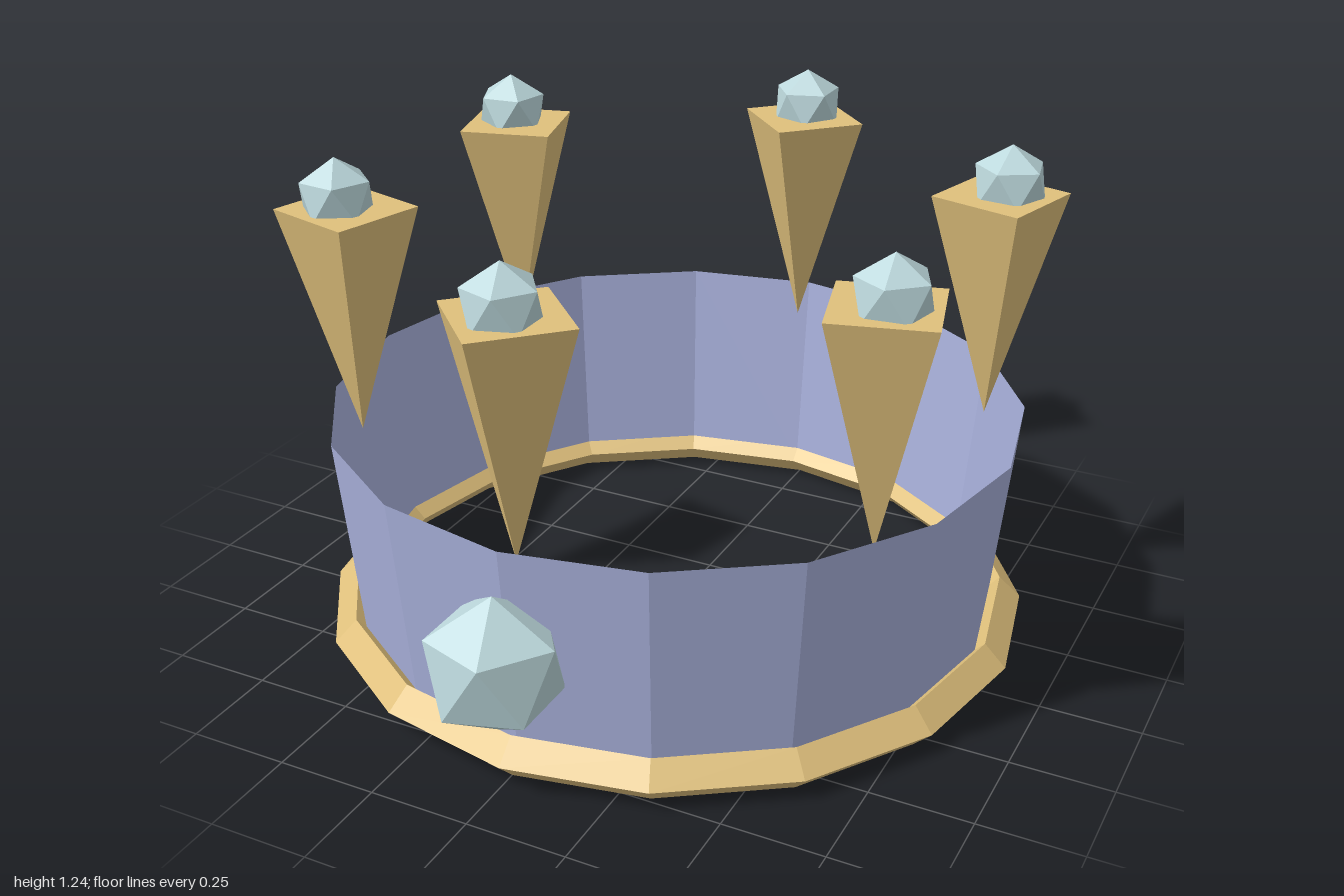
import * as THREE from 'three';

const flat = (name, color) => {
  const m = new THREE.MeshStandardMaterial({ color, flatShading: true });
  m.name = name;
  return m;
};

export function createModel() {
  const periwinkle = flat('periwinkle', 0xa9b1dc);
  periwinkle.side = THREE.DoubleSide;
  const gold = flat('gold', 0xdfc07c);
  const iceBlue = flat('iceBlue', 0xbcd8dc);

  const crown = new THREE.Group();
  crown.name = 'crown';
  crown.position.z = -0.04;

  const add = (name, geometry, material, y, z, parent = crown) => {
    const mesh = new THREE.Mesh(geometry, material);
    mesh.name = name;
    mesh.position.set(0, y, z);
    parent.add(mesh);
    return mesh;
  };

  // Icosahedron standing on a vertex
  const gemGeometry = (r) =>
    new THREE.IcosahedronGeometry(r, 0).rotateZ(-Math.atan(2 / (1 + Math.sqrt(5))));

  // Open flared band, 16 sides
  const bandBottom = 0.05, bandTop = 0.6;
  add('band', new THREE.CylinderGeometry(0.868, 0.815, bandTop - bandBottom, 16, 1, true),
    periwinkle, (bandTop + bandBottom) / 2, 0);

  // Diamond-section rim at the foot
  add('baseRim', new THREE.TorusGeometry(0.843, 0.055, 4, 16).rotateX(Math.PI / 2), gold, 0.055, 0);

  // Large gem on the front
  add('frontGem', gemGeometry(0.172), iceBlue, 0.331, 0.895);

  // Six upside-down pyramids, each tipped with a small gem
  const spikeTop = 1.118, spikeTip = 0.535;
  const spikeGeometry = new THREE.ConeGeometry(0.171, spikeTop - spikeTip, 4).rotateX(Math.PI);
  const smallGem = gemGeometry(0.097);
  for (let i = 0; i < 6; i++) {
    const point = new THREE.Group();
    point.name = 'point';
    point.rotation.y = (i * Math.PI) / 3;
    add('spike', spikeGeometry, gold, (spikeTop + spikeTip) / 2, 0.787, point);
    add('spikeGem', smallGem, iceBlue, 1.147, 0.807, point);
    crown.add(point);
  }

  const model = new THREE.Group();
  model.add(crown);
  return model;
}
